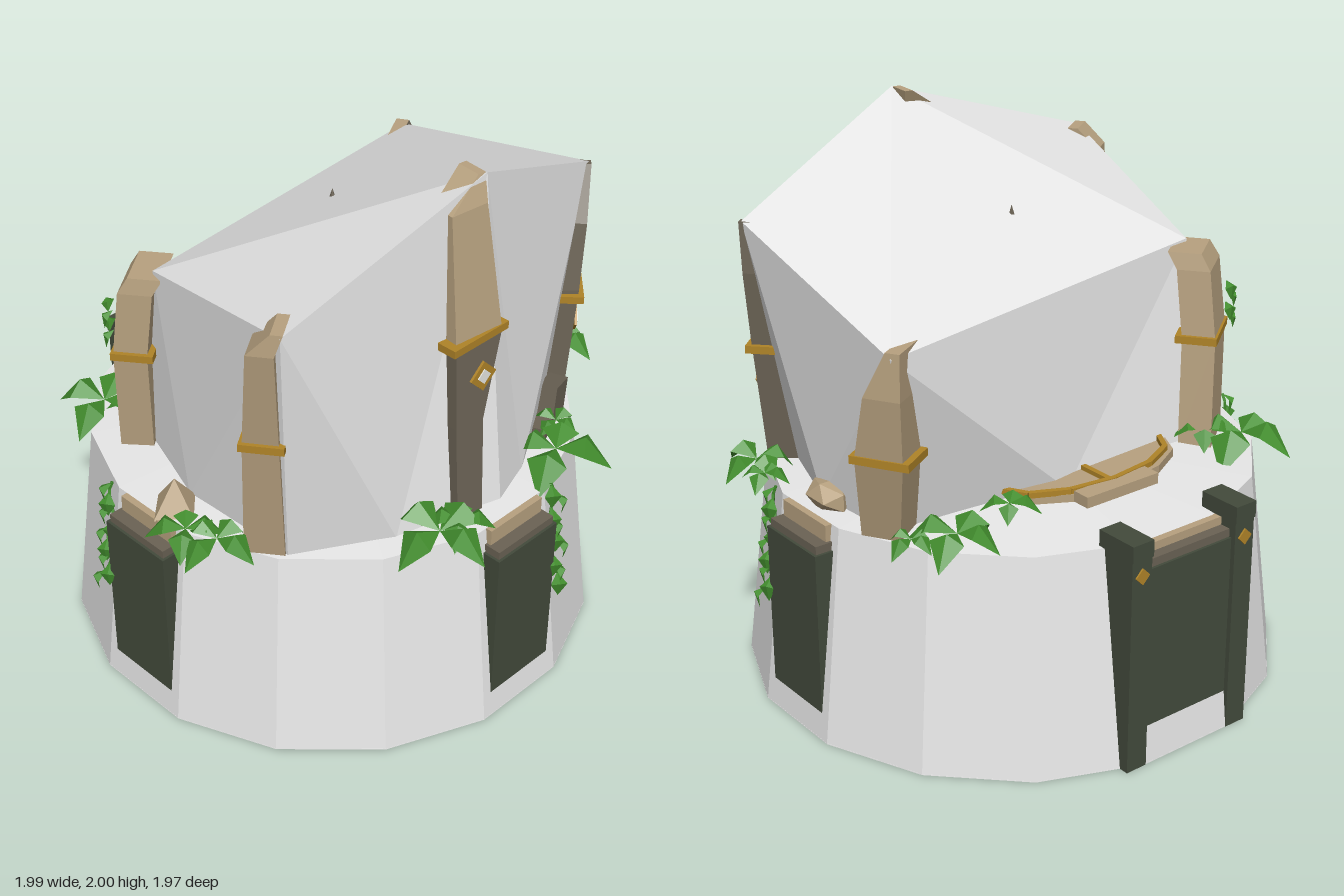
import * as THREE from 'three';

const mat = (name, color) => {
  const m = new THREE.MeshStandardMaterial({ color });
  m.name = name;
  m.flatShading = true;
  m.side = THREE.DoubleSide;
  return m;
};

export function createModel() {
  const root = new THREE.Group();
  root.name = 'canopyTower';
  const pale = mat('paleStone', 0xe8e8e8);
  const slate = mat('darkGreenPanel', 0x434b3c);
  const tan = mat('tanWood', 0xb8a280);
  const dark = mat('darkWood', 0x6b6355);
  const gold = mat('gold', 0xb08428);
  const green = mat('leafGreen', 0x438f2e);
  const white = mat('whiteInlay', 0xe8e8e4);

  const add = (name, geo, m, x = 0, y = 0, z = 0, ry = 0, parent = root) => {
    const mesh = new THREE.Mesh(geo, m);
    mesh.name = name;
    mesh.position.set(x, y, z);
    mesh.rotation.y = ry;
    parent.add(mesh);
    return mesh;
  };
  const box = (name, w, h, d, m, x, y, z, ry, parent) =>
    add(name, new THREE.BoxGeometry(w, h, d), m, x, y, z, ry, parent);
  // Flat-sided geometry from a list of triangles, three points each
  const facets = (tris) => {
    const g = new THREE.BufferGeometry();
    g.setAttribute('position', new THREE.Float32BufferAttribute(tris.flat(2), 3));
    g.computeVertexNormals();
    return g;
  };

  // Sixteen-sided tapered base with a shallow cone for a floor
  const half = Math.PI / 16;
  add('base', new THREE.CylinderGeometry(0.885, 0.98, 0.79, 16, 1, true), pale, 0.02, 0.395, 0, half);
  add('floor', new THREE.ConeGeometry(0.885, 0.06, 16, 1, true), pale, 0.02, 0.82, 0, half);
  const under = add('underside', new THREE.CircleGeometry(0.98, 16, half), pale, 0.02, 0.004, 0);
  under.rotation.x = Math.PI / 2;
  const patch = add('undersidePatch', new THREE.RingGeometry(0.25, 0.93, 4, 1, Math.PI * 0.77, Math.PI * 0.46), slate, 0.02, 0, 0);
  patch.rotation.x = Math.PI / 2;

  // Canopy: five uneven peaks, wall feet and the feet between them
  const tops = [[0.06, 2, 0.65], [0.82, 1.68, 0.47], [0.86, 1.47, -0.46], [-0.58, 1.52, -0.25], [-0.78, 1.74, 0.59]];
  const feet = [[0.04, 0.79, 0.8], [0.66, 0.79, 0.48], [0.78, 0.79, -0.3], [-0.56, 0.79, -0.38], [-0.68, 0.79, 0.5]];
  const mids = [[0.22, 0.79, 0.74], [0.8, 0.79, 0.06], [0.1, 0.79, -0.41], [-0.7, 0.79, 0.03], [-0.36, 0.79, 0.69]];
  const [a, b, c, d, e] = tops;
  const walls = tops.flatMap((t, i) => {
    const j = (i + 1) % 5, m = mids[i];
    return [[feet[i], m, t], [t, m, tops[j]], [m, feet[j], tops[j]]];
  });
  add('canopyRoof', facets([[a, b, c], [a, c, d], [a, d, e]]), pale);
  add('canopyWalls', facets(walls), pale);
  add('canopyPin', new THREE.ConeGeometry(0.012, 0.04, 5), dark, 0.02, 1.68, 0);

  // Curved posts: rows are [x, y, z, half width] along the outer face
  const post = (name, rows, angle, m, leftMat = m, depth = 0.12) => {
    const sn = Math.sin(angle), cs = Math.cos(angle);
    const loops = rows.map(([x, y, z, w]) =>
      [[-w, 0], [w, 0], [w, -depth], [-w, -depth]].map(([s, o]) => [x + s * cs + o * sn, y, z - s * sn + o * cs]));
    const body = [], left = [];
    for (let r = 0; r + 1 < loops.length; r++) {
      const lo = loops[r], hi = loops[r + 1];
      for (let k = 0; k < 4; k++) {
        const n = (k + 1) % 4;
        (k === 3 ? left : body).push([lo[k], lo[n], hi[n]], [lo[k], hi[n], hi[k]]);
      }
    }
    const end = loops[loops.length - 1];
    body.push([end[0], end[1], end[2]], [end[0], end[2], end[3]]);
    add(name, facets(body), m);
    add(name + 'Side', facets(left), leftMat);
  };
  post('frontPostLower', [[-0.1, 0.79, 0.785, 0.055], [-0.085, 1.15, 0.752, 0.06], [-0.03, 1.45, 0.728, 0.1]], -0.1, dark);
  post('frontPostUpper', [[-0.03, 1.45, 0.728, 0.1], [-0.035, 1.91, 0.668, 0.075], [0.045, 2, 0.64, 0.015]], -0.1, tan, tan, 0.09);
  post('rightFrontPost', [[0.71, 0.79, 0.51, 0.085], [0.75, 1.25, 0.515, 0.09], [0.78, 1.5, 0.505, 0.075], [0.82, 1.68, 0.48, 0.015]], 0.75, dark, dark, 0.13);
  post('rightBackPost', [[0.82, 0.79, -0.32, 0.07], [0.87, 1.1, -0.39, 0.085], [0.88, 1.33, -0.43, 0.065], [0.855, 1.49, -0.46, 0.025]], 2.1, tan, dark, 0.14);
  post('leftBackPost', [[-0.6, 0.79, -0.42, 0.11], [-0.62, 1.2, -0.4, 0.11], [-0.61, 1.45, -0.37, 0.1], [-0.59, 1.51, -0.34, 0.09]], -2.5, tan);
  post('leftFrontPost', [[-0.73, 0.79, 0.44, 0.07], [-0.78, 1.28, 0.49, 0.06], [-0.82, 1.67, 0.54, 0.045], [-0.785, 1.75, 0.58, 0.02]], -0.95, tan);

  // Gold bands round the posts: [x, y, z, width, angle]
  [[-0.03, 1.455, 0.665, 0.26, 0], [0.71, 1.222, 0.475, 0.22, 0.75], [0.81, 1.1, -0.36, 0.21, 2.1],
    [-0.58, 1.2, -0.345, 0.25, -2.5], [-0.73, 1.285, 0.46, 0.15, -0.95]].forEach(([x, y, z, w, ry]) =>
    box('postBand', w, 0.028, 0.15, gold, x, y, z, ry));

  // Diamond inlays, gold with an optional white heart
  const diamond = (x, y, z, r, ry, heart = true) => {
    const g = new THREE.Group();
    g.name = 'diamondInlay';
    g.position.set(x, y, z);
    g.rotation.y = ry;
    root.add(g);
    [[r, gold, 0], [r * 0.5, white, 0.004]].slice(0, heart ? 2 : 1).forEach(([s, m, o]) => {
      const plate = box('diamond', s * 1.41, s * 1.41, 0.009, m, 0, 0, o, 0, g);
      plate.rotation.z = Math.PI / 4;
    });
  };
  diamond(-0.03, 1.32, 0.751, 0.058, -0.05);
  diamond(0.745, 1.085, 0.522, 0.052, 0.75);

  // Hanging panels on three sides, with a dark ledge and a tan cap set back
  [0, Math.PI / 2, -Math.PI / 2].forEach((ry) => {
    const g = new THREE.Group();
    g.name = 'sidePanel';
    g.position.x = 0.02;
    g.rotation.y = ry;
    root.add(g);
    box('panel', 0.3, 0.6, 0.1, slate, 0, 0.4, 0.9, 0, g);
    box('lowerCap', 0.28, 0.03, 0.08, dark, 0, 0.715, 0.9, 0, g);
    box('upperCap', 0.26, 0.06, 0.05, tan, 0, 0.76, 0.868, 0, g);
  });

  // Back gate
  [-0.21, 0.25].forEach((x) => {
    box('gatePost', 0.085, 0.8, 0.155, slate, x, 0.4, -0.885);
    box('gatePostCap', 0.09, 0.06, 0.165, slate, x, 0.82, -0.885);
    diamond(x, 0.73, -0.964, 0.03, Math.PI, false);
  });
  box('gatePanel', 0.39, 0.65, 0.09, slate, 0.02, 0.405, -0.9);
  box('gateLedge', 0.38, 0.03, 0.07, dark, 0.02, 0.745, -0.9);
  box('gateCap', 0.38, 0.04, 0.04, tan, 0.02, 0.77, -0.875);

  // Low arch on the floor behind the canopy
  const arc = (r, q) => [0, 1, 2, 3, 4, 5, 6].map((i) => {
    const t = Math.PI * i / 6;
    return new THREE.Vector3(r * Math.cos(t), 0, -0.37 - q * Math.sin(t));
  });
  const fan = new THREE.Shape(arc(0.37, 0.2).map((p) => new THREE.Vector2(p.x - 0.02, -p.z)));
  const slab = add('archSlab', new THREE.ExtrudeGeometry(fan, { depth: 0.03, bevelEnabled: false }), tan, 0, 0.81, 0);
  slab.rotation.x = -Math.PI / 2;
  const rail = arc(0.36, 0.175);
  for (let i = 0; i < 6; i++) {
    const p = rail[i], q = rail[i + 1];
    box('archTrim', p.distanceTo(q), 0.02, 0.02, gold, (p.x + q.x) / 2, 0.848, (p.z + q.z) / 2, -Math.atan2(q.z - p.z, q.x - p.x));
  }
  box('archRib', 0.02, 0.02, 0.14, gold, 0.02, 0.846, -0.47);
  box('archStep', 0.32, 0.04, 0.07, tan, 0.02, 0.835, -0.575);

  // Fallen blocks and rocks
  box('fallenBlock', 0.12, 0.14, 0.07, dark, 0.54, 0.865, 0.6, 0.35).rotation.z = -0.2;
  box('fallenSlab', 0.14, 0.05, 0.08, dark, 0.45, 0.815, 0.63, 0.4);
  const rock = add('rightRock', new THREE.IcosahedronGeometry(0.1), tan, 0.81, 0.825, 0);
  rock.scale.set(0.7, 0.6, 1.05);
  add('leftRock', new THREE.ConeGeometry(0.1, 0.13, 4), tan, -0.78, 0.85, 0.05);

  // Broad folded leaf along +z, arching up and drooping at the tip
  const leafGeo = (() => {
    const base = [0, 0, 0], l = [-0.36, 0.12, 0.52], r = [0.36, 0.12, 0.52], m = [0, 0.32, 0.5], t = [0, -0.3, 1];
    return facets([[base, m, l], [base, r, m], [l, m, t], [m, r, t]]);
  })();
  const leaf = (parent, x, y, z, size, yaw, pitch = 0) => {
    const f = add('leaf', leafGeo, green, x, y, z, 0, parent);
    f.rotation.set(pitch, yaw, 0, 'YXZ');
    f.scale.setScalar(size);
  };
  // Rim clusters: [x, z, leaf length, turn]
  [[-0.29, 0.82, 0.22, 0.1], [-0.2, 0.83, 0.13, 0.8], [0.33, 0.8, 0.2, 0.6], [0.46, 0.69, 0.1, 0.2],
    [-0.88, 0.22, 0.14, 0.9], [-0.84, 0.33, 0.15, 0.2], [-0.61, -0.54, 0.21, 0.5], [-0.52, -0.44, 0.13, 0.9],
    [0.68, -0.55, 0.18, 0.6], [0.82, -0.49, 0.1, 0.3], [0.41, -0.48, 0.11, 0.9],
    [0.88, 0.35, 0.15, 0.1], [0.92, 0.23, 0.1, 0.7]].forEach(([x, z, s, turn], i) => {
    const g = new THREE.Group();
    g.name = 'leafCluster';
    root.add(g);
    for (let k = 0; k < 4; k++)
      leaf(g, x, 0.855, z, s * (0.85 + 0.15 * ((k * 2 + i) % 3) / 2), k * 1.5 + turn, 0.15 * (k % 2));
  });

  // Hanging vines beside the panels, and a sprig on the left back post
  [0, Math.PI / 2, -Math.PI / 2].forEach((ry) => {
    const g = new THREE.Group();
    g.name = 'hangingVine';
    g.position.x = 0.02;
    g.rotation.y = ry;
    root.add(g);
    const side = ry === 0 ? 1 : -1;
    const pts = [0, 1, 2, 3, 4, 5, 6, 7, 8].map((i) =>
      new THREE.Vector3(side * (0.18 + 0.015 * Math.sin(i * 1.7)), 0.82 - i * 0.047, 0.89 + i * 0.006));
    add('vineStem', new THREE.TubeGeometry(new THREE.CatmullRomCurve3(pts), 12, 0.007, 4), green, 0, 0, 0, 0, g);
    pts.forEach((p, i) => leaf(g, p.x, p.y, p.z, 0.085, (i % 2 ? 0.6 : -0.6), 0.95));
  });
  for (let i = 0; i < 4; i++)
    leaf(root, -0.66, 1.38 - i * 0.04, -0.38, 0.07, i % 2 ? -1.9 : 3, 0.8);

  return root;
}
